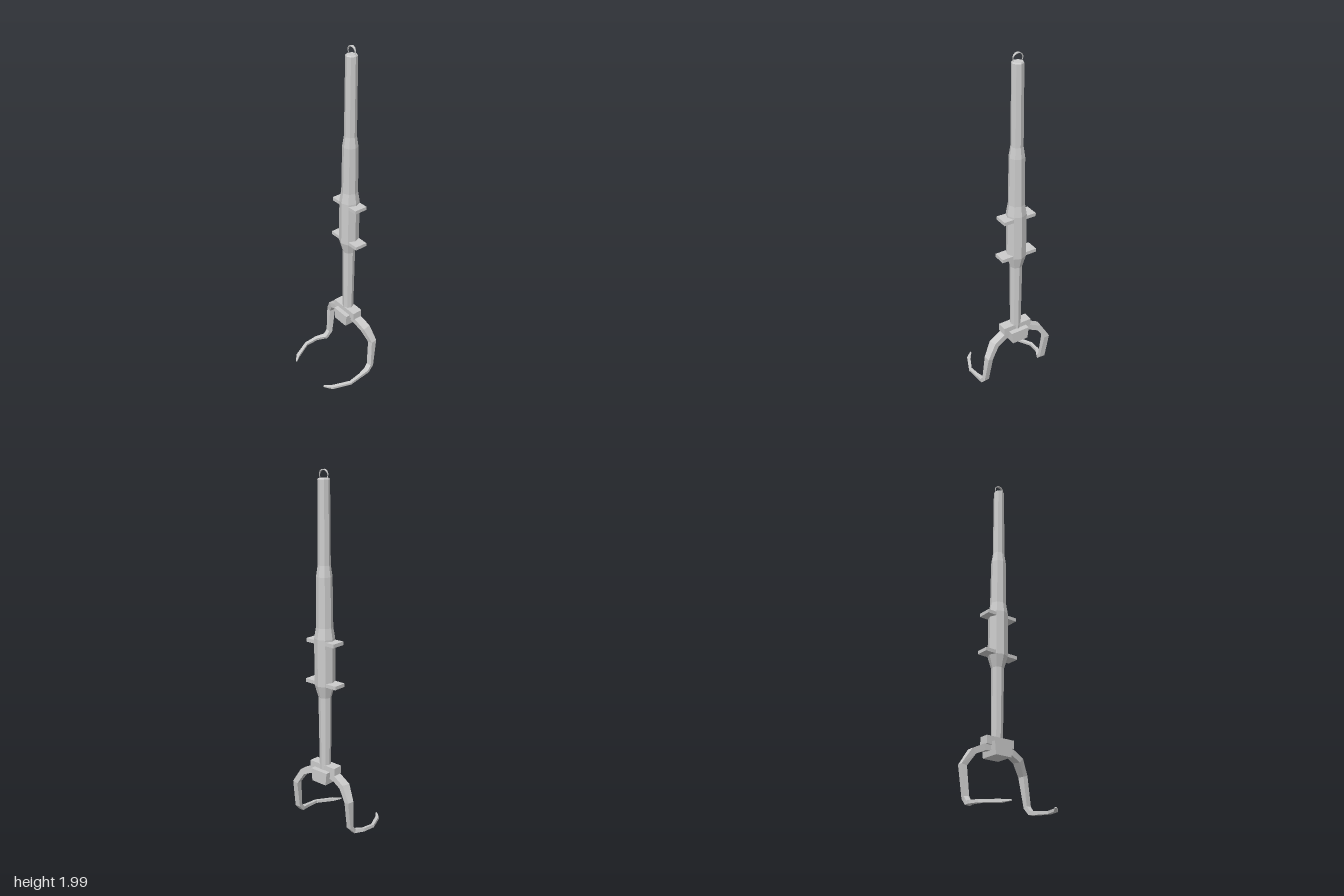
import * as THREE from 'three';

const AXIS_Z = -0.122;

// Four-sided loft; each station is [x, y, z, halfU, halfV], with u starting along +z
function loft(stations) {
  const points = stations.map(s => new THREE.Vector3(s[0], s[1], s[2]));
  const u = new THREE.Vector3(0, 0, 1), v = new THREE.Vector3();
  const pos = [], index = [], n = stations.length;
  points.forEach((p, i) => {
    const t = new THREE.Vector3();
    if (i > 0) t.add(p.clone().sub(points[i - 1]).normalize());
    if (i < n - 1) t.add(points[i + 1].clone().sub(p).normalize());
    t.normalize();
    u.addScaledVector(t, -t.dot(u)).normalize();
    v.crossVectors(t, u);
    for (const [a, b] of [[-1, -1], [1, -1], [1, 1], [-1, 1]]) {
      const q = p.clone().addScaledVector(u, a * stations[i][3]).addScaledVector(v, b * stations[i][4]);
      pos.push(q.x, q.y, q.z);
    }
  });
  for (let i = 0; i < n - 1; i++) {
    for (let k = 0; k < 4; k++) {
      const a = i * 4 + k, b = i * 4 + (k + 1) % 4;
      index.push(a, b, b + 4, a, b + 4, a + 4);
    }
  }
  const e = (n - 1) * 4;
  index.push(0, 2, 1, 0, 3, 2, e, e + 1, e + 2, e, e + 2, e + 3);
  const g = new THREE.BufferGeometry();
  g.setAttribute('position', new THREE.Float32BufferAttribute(pos, 3));
  g.setIndex(index);
  g.computeVertexNormals();
  return g;
}

export function createModel() {
  const model = new THREE.Group();
  const material = new THREE.MeshStandardMaterial({
    color: 0xcccccc, flatShading: true, side: THREE.DoubleSide,
  });
  const add = (name, geometry, y = 0, z = 0) => {
    const mesh = new THREE.Mesh(geometry, material);
    mesh.name = name;
    mesh.position.set(0, y, z);
    model.add(mesh);
    return mesh;
  };

  // Octagonal shaft with a thick grip in the middle
  const profile = [
    [0, 0.34], [0.031, 0.34], [0.036, 0.8], [0.056, 0.87], [0.056, 1.13],
    [0.046, 1.19], [0.043, 1.46], [0.034, 1.52], [0.032, 1.95], [0.028, 1.956], [0, 1.956],
  ].map(p => new THREE.Vector2(...p));
  add('shaft', new THREE.LatheGeometry(profile, 8), 0, AXIS_Z);

  // Hanging loop, widest at its crown
  const arch = [];
  for (let i = 0; i <= 10; i++) {
    const a = Math.PI * (1.15 - 1.3 * i / 10);
    arch.push([0.028 * Math.cos(a), 1.971 + 0.027 * Math.sin(a), AXIS_Z,
      0.001 + 0.006 * Math.max(0, Math.sin(a)), 0.002]);
  }
  add('hangingLoop', loft(arch));

  // Cross pegs through the grip
  add('upperPeg', new THREE.BoxGeometry(0.194, 0.02, 0.079), 1.11, AXIS_Z);
  add('lowerPeg', new THREE.BoxGeometry(0.214, 0.02, 0.074), 0.88, AXIS_Z);

  // Collar bar, and hub block narrowing downwards
  add('collarBar', new THREE.BoxGeometry(0.178, 0.045, 0.058), 0.382, -0.119);
  const hub = new THREE.BoxGeometry(0.114, 0.072, 0.113);
  const hp = hub.attributes.position;
  for (let i = 0; i < hp.count; i++) {
    if (hp.getY(i) < 0) hp.setX(i, hp.getX(i) * 0.87);
  }
  hub.computeVertexNormals();
  add('hubBlock', hub, 0.339, -0.1205);

  // Two claws: out from the hub, down, then forward along the ground
  for (const [name, side, ankle] of [['leftClaw', 1, 0.207], ['rightClaw', -1, 0.188]]) {
    const path = [
      [0.03, 0.355, -0.122, 0.022, 0.017],
      [0.09, 0.343, -0.125, 0.024, 0.017],
      [0.15, 0.315, -0.133, 0.025, 0.017],
      [0.196, 0.24, -0.149, 0.019, 0.016],
      [ankle, 0.075, -0.128, 0.012, 0.016],
      [ankle + 0.002, 0.042, -0.1, 0.011, 0.015],
      [0.215, 0.035, -0.045, 0.009, 0.01],
      [0.219, 0.027, 0.032, 0.008, 0.009],
      [0.173, 0.017, 0.132, 0.008, 0.01],
      [0.136, 0.02, 0.172, 0.003, 0.004],
    ];
    add(name, loft(path.map(([x, ...rest]) => [side * x, ...rest])));
  }
  return model;
}
